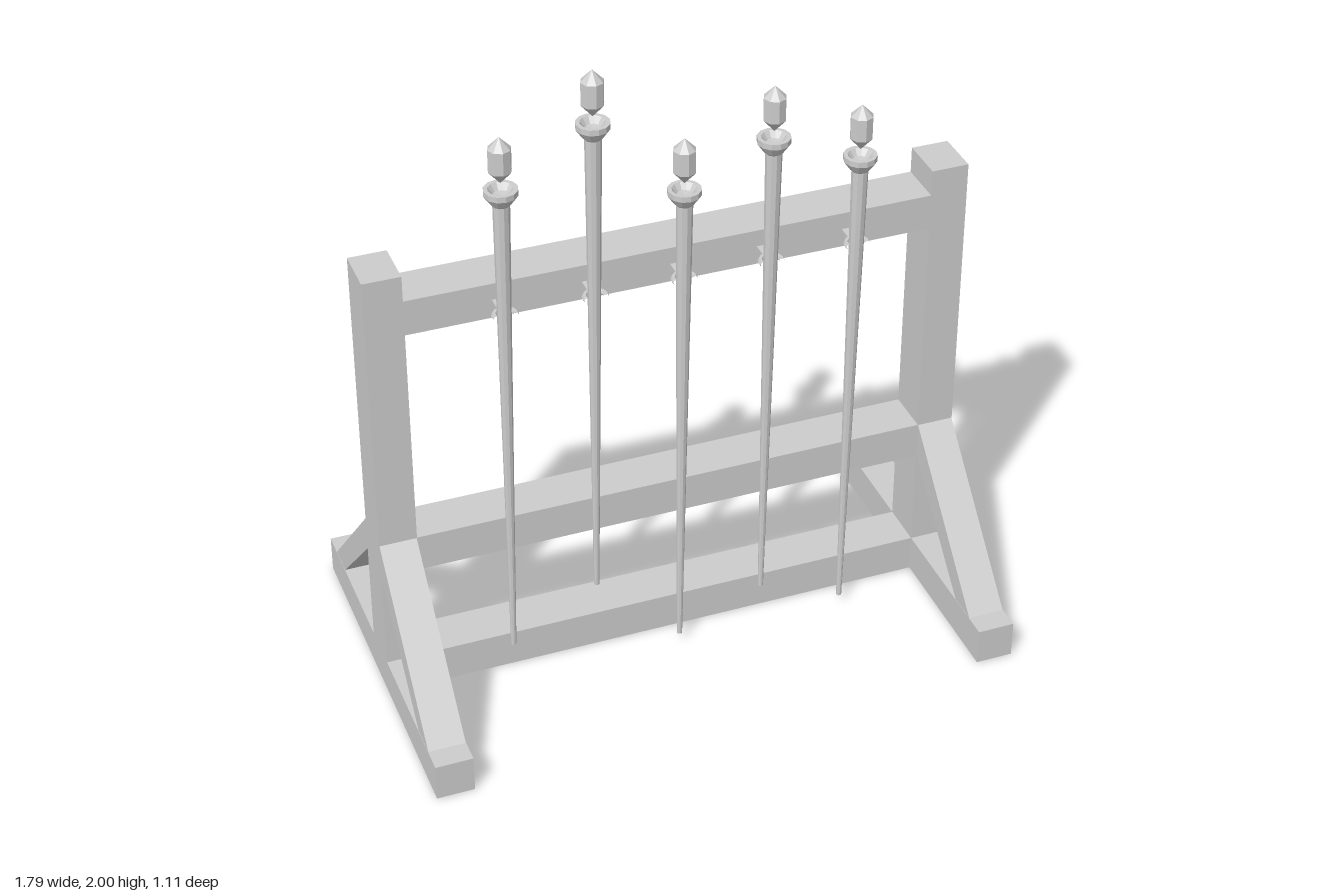
import * as THREE from 'three';

export function createModel() {
  const model = new THREE.Group();
  model.name = 'staffRack';
  const grey = new THREE.MeshStandardMaterial({ color: 0xcccccc, flatShading: true });
  grey.name = 'plainGrey';

  const add = (parent, name, geometry, x = 0, y = 0, z = 0) => {
    const mesh = new THREE.Mesh(geometry, grey);
    mesh.name = name;
    mesh.position.set(x, y, z);
    parent.add(mesh);
    return mesh;
  };
  const box = (parent, name, w, y0, y1, d, x = 0, z = 0) =>
    add(parent, name, new THREE.BoxGeometry(w, y1 - y0, d), x, (y0 + y1) / 2, z);
  const lathe = (points, sides) =>
    new THREE.LatheGeometry(points.map(([r, y]) => new THREE.Vector2(r, y)), sides);

  // Diagonal brace profile in the depth/height plane
  const braceShape = new THREE.Shape([[0.07, 0.435], [0.39, 0.115], [0.485, 0.115], [0.07, 0.545]]
    .map(([z, y]) => new THREE.Vector2(z, y)));
  const braceGeo = new THREE.ExtrudeGeometry(braceShape, { depth: 0.11, bevelEnabled: false });
  braceGeo.translate(0, 0, -0.055);

  // End frames: foot, post and two braces
  for (const side of [1, -1]) {
    const frame = new THREE.Group();
    frame.name = side > 0 ? 'leftFrame' : 'rightFrame';
    frame.position.x = side * 0.839;
    model.add(frame);
    box(frame, 'foot', 0.112, 0, 0.115, 1.11);
    box(frame, 'post', 0.112, 0.115, 1.43, 0.142);
    add(frame, 'frontBrace', braceGeo).rotation.y = -Math.PI / 2;
    add(frame, 'backBrace', braceGeo).rotation.y = Math.PI / 2;
  }

  // Cross beams between the posts
  box(model, 'lowerBeam', 1.568, 0, 0.115, 0.142);
  box(model, 'middleBeam', 1.568, 0.43, 0.545, 0.142);
  box(model, 'upperBeam', 1.568, 1.24, 1.35, 0.142);

  // Shared staff parts, measured down from the crystal tip
  const crystalGeo = lathe([[0, -0.14], [0.033, -0.102], [0.033, -0.034], [0, 0]], 8);
  const cupGeo = lathe([[0.02, -0.21], [0.03, -0.2], [0.048, -0.174], [0.048, -0.157],
    [0.036, -0.157], [0.022, -0.175], [0, -0.178]], 12);
  const shaftGeo = new THREE.CylinderGeometry(0.024, 0.008, 1.51, 10);
  const hookGeo = new THREE.TorusGeometry(0.03, 0.008, 6, 14, Math.PI * 1.2);
  hookGeo.rotateZ(-Math.PI * 0.1);
  hookGeo.rotateX(-Math.PI / 2); // opening faces the front

  // Five staves, each held by a hook on the upper beam
  const tips = [1.85, 2.0, 1.74, 1.85, 1.74];
  tips.forEach((tip, i) => {
    const x = (i - 2) * 0.26;
    const staff = new THREE.Group();
    staff.name = 'staff' + (i + 1);
    staff.position.set(x, tip, 0.147);
    model.add(staff);
    add(staff, 'crystal', crystalGeo);
    add(staff, 'cup', cupGeo);
    add(staff, 'shaft', shaftGeo, -0.005, -0.955, 0).rotation.z = -0.007;
    add(model, 'hook', hookGeo, x, 1.293, 0.147);
    box(model, 'hookArm', 0.026, 1.288, 1.298, 0.05, x, 0.094);
  });

  return model;
}
